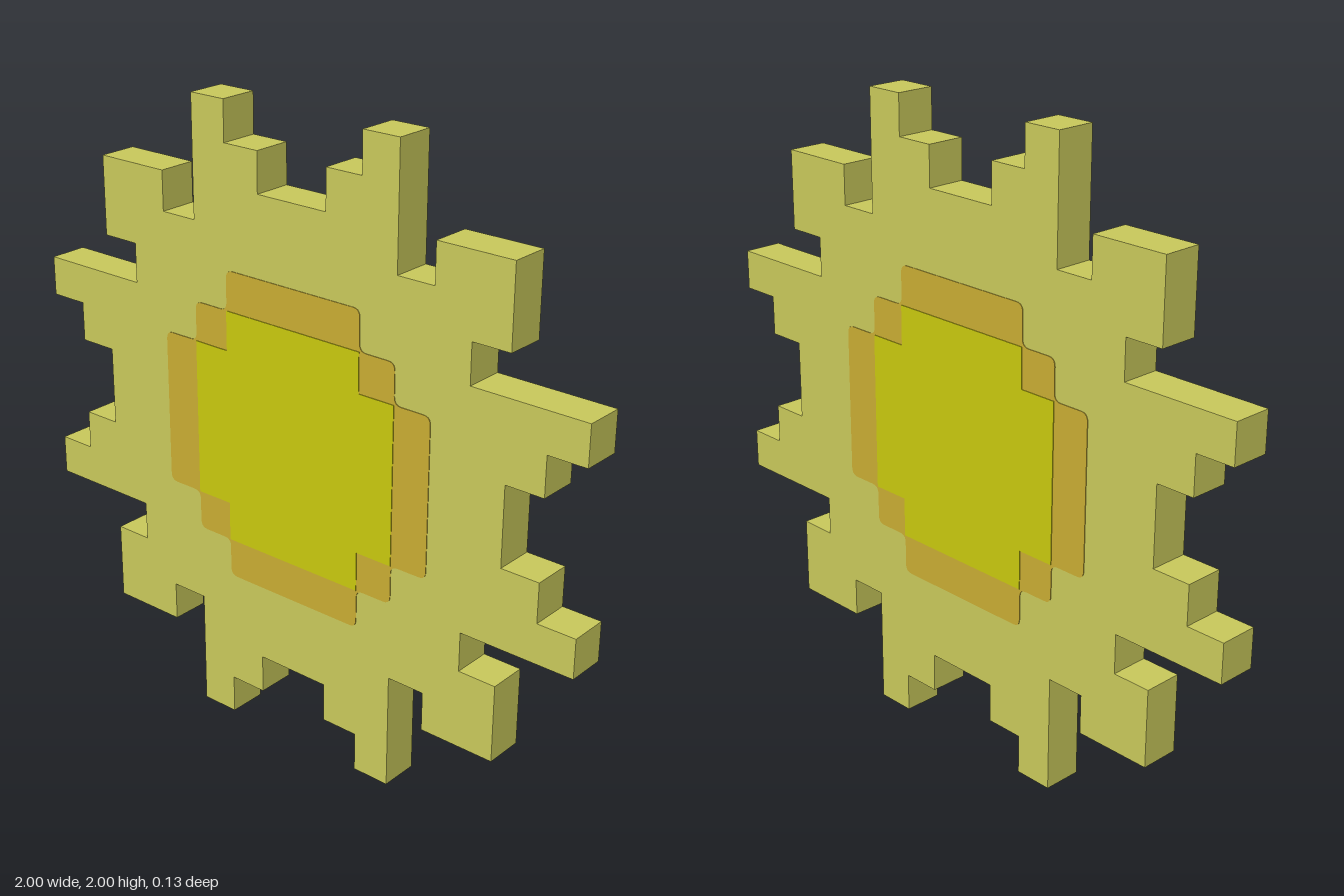
import * as THREE from 'three';

const U = 0.125; // one grid square
const DEPTH = 0.125;

const paleYellow = new THREE.MeshStandardMaterial({ name: 'paleYellow', color: 0xc9c95b });
const orange = new THREE.MeshStandardMaterial({ name: 'orange', color: 0xc9ad33 });
const brightYellow = new THREE.MeshStandardMaterial({ name: 'brightYellow', color: 0xc9c90e });

// Mirrors the upper right quarter (listed clockwise) into a closed outline
function mirrorQuarter(quarter) {
  const flip = (sx, sy) => quarter.map(([x, y]) => new THREE.Vector2(x * sx * U, y * sy * U));
  return [
    ...flip(1, 1),
    ...flip(1, -1).reverse(),
    ...flip(-1, -1),
    ...flip(-1, 1).reverse(),
  ];
}

// Closed shape, optionally with softened corners
function makeShape(points, radius = 0) {
  if (!radius) return new THREE.Shape(points);
  const shape = new THREE.Shape();
  points.forEach((p, i) => {
    const prev = points[(i + points.length - 1) % points.length];
    const next = points[(i + 1) % points.length];
    const a = p.clone().add(prev.clone().sub(p).setLength(radius));
    const b = p.clone().add(next.clone().sub(p).setLength(radius));
    if (i === 0) shape.moveTo(a.x, a.y);
    else shape.lineTo(a.x, a.y);
    shape.quadraticCurveTo(p.x, p.y, b.x, b.y);
  });
  shape.closePath();
  return shape;
}

// Extruded slab centred on z
function slab(name, shape, depth, z, material) {
  const geometry = new THREE.ExtrudeGeometry(shape, { depth, bevelEnabled: false, curveSegments: 5 });
  geometry.translate(0, 0, z - depth / 2);
  const mesh = new THREE.Mesh(geometry, material);
  mesh.name = name;
  return mesh;
}

export function createModel() {
  const sun = new THREE.Group();
  sun.name = 'pixelSun';

  // Stepped body with rays
  const body = mirrorQuarter([
    [1, 6], [1, 7], [2, 7], [2, 8], [3, 8], [3, 5], [4, 5], [4, 6], [6, 6],
    [6, 4], [5, 4], [5, 3], [8, 3], [8, 2], [7, 2], [7, 1], [6, 1],
  ]);
  sun.add(slab('sunBody', makeShape(body), DEPTH, 0, paleYellow));

  // Painted ring and core, on the front and the back
  const ring = makeShape(mirrorQuarter([[2, 4], [2, 3], [3, 3], [3, 2], [4, 2]]), 0.025);
  const core = makeShape(mirrorQuarter([[2, 3], [2, 2], [3, 2]]));
  for (const [side, s] of [['front', 1], ['back', -1]]) {
    const z = (s * DEPTH) / 2;
    sun.add(slab(side + 'Ring', ring, 0.004, z, orange));
    sun.add(slab(side + 'Core', core, 0.008, z, brightYellow));
  }

  sun.position.y = 1;
  const model = new THREE.Group();
  model.name = 'sun';
  model.add(sun);
  return model;
}
